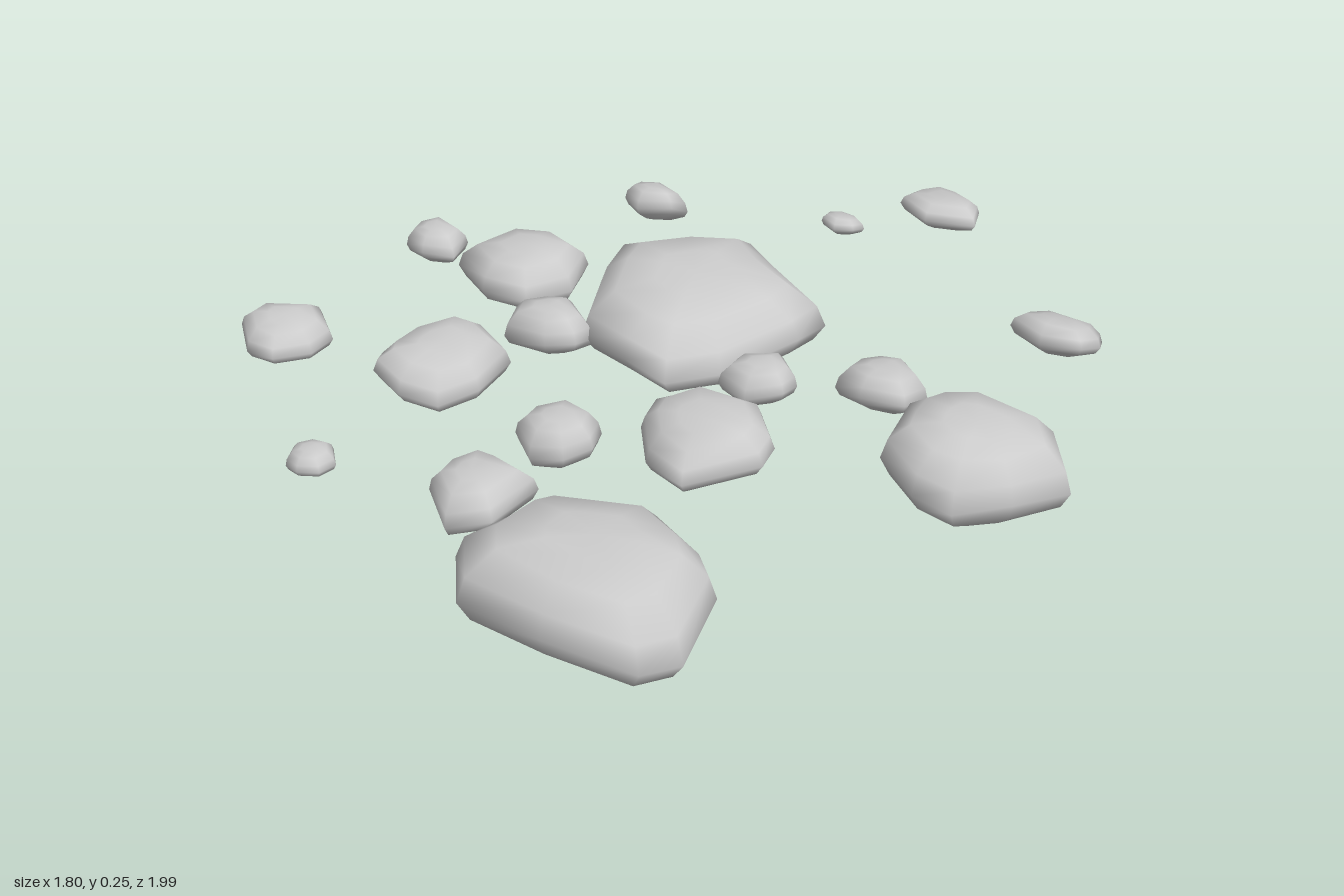
import * as THREE from 'three';

const material = new THREE.MeshStandardMaterial({ color: 0xcccccc });

// Ring profile of a stone: [share of outline, share of height]; first and last are poles
const PROFILE = [[0, 0], [0.5, 0.12], [0.9, 0.32], [1, 0.5], [0.93, 0.72], [0.7, 0.93], [0.36, 0.995], [0, 1]];

// Stone from a plan outline [x, z, x, z, ...] (clockwise from above) between heights y0 and y1.
// tilt = [x, z] lean of the slab; keel = [x, z] of the lowest point
function makeStone(name, outline, y0, y1, { tilt = [0, 0], keel = null } = {}) {
  const n = outline.length / 2;
  const plan = Array.from({ length: n }, (_, i) => new THREE.Vector2(outline[2 * i], outline[2 * i + 1]));
  const box = new THREE.Box2().setFromPoints(plan);
  const centre = box.getCenter(new THREE.Vector2());
  const size = box.getSize(new THREE.Vector2());
  const low = keel ? new THREE.Vector2(...keel) : centre;
  const positions = [], index = [];

  const add = (p, h) => positions.push(
    p.x,
    h + tilt[0] * (p.x - centre.x) / size.x + tilt[1] * (p.y - centre.y) / size.y,
    p.y);

  PROFILE.forEach(([share, h], j) => {
    const core = low.clone().lerp(centre, Math.min(1, h * 2));
    if (share === 0) return add(core, h);
    plan.forEach((p, i) => {
      // uneven rim so the widest line wanders up and down
      const wobble = 0.09 * Math.sin(i * 2.4 + n + outline[0] * 9) * Math.sin(Math.PI * h);
      add(core.clone().lerp(p, share), h + wobble);
    });
  });

  const rings = PROFILE.length - 2, top = 1 + rings * n;
  for (let i = 0; i < n; i++) {
    const k = (i + 1) % n;
    index.push(0, 1 + i, 1 + k);
    for (let j = 0; j < rings - 1; j++) {
      const a = 1 + j * n + i, b = 1 + j * n + k;
      index.push(a, a + n, b, b, a + n, b + n);
    }
    index.push(top - n + i, top, top - n + k);
  }

  // fit to the wanted height range
  let min = Infinity, max = -Infinity;
  for (let i = 1; i < positions.length; i += 3) {
    min = Math.min(min, positions[i]);
    max = Math.max(max, positions[i]);
  }
  for (let i = 1; i < positions.length; i += 3)
    positions[i] = y0 + (positions[i] - min) / (max - min) * (y1 - y0);

  const geometry = new THREE.BufferGeometry();
  geometry.setAttribute('position', new THREE.Float32BufferAttribute(positions, 3));
  geometry.setIndex(index);
  geometry.computeVertexNormals();
  const mesh = new THREE.Mesh(geometry, material);
  mesh.name = name;
  return mesh;
}

// Seven-sided outline for a round pebble, clockwise from above
function roundOutline(x, z, r) {
  const points = [];
  for (let i = 0; i < 7; i++) {
    const a = Math.PI + i * Math.PI * 2 / 7;
    points.push(x + r * Math.cos(a), z + r * Math.sin(a));
  }
  return points;
}

export function createModel() {
  const group = new THREE.Group();
  group.name = 'scatteredStones';
  const stone = (...args) => group.add(makeStone(...args));

  // Three boulders
  stone('centreBoulder', [-0.37, -0.15, -0.28, -0.3, -0.155, -0.395, -0.04, -0.34, 0.115, -0.315, 0.13, -0.19,
    0.065, 0.015, -0.015, 0.115, -0.11, 0.14, -0.27, 0.105, -0.35, -0.06], 0.01, 0.25,
  { tilt: [-0.25, -0.1], keel: [0, -0.1] });
  stone('frontBoulder', [0.1, 0.74, 0.135, 0.7, 0.34, 0.56, 0.48, 0.59, 0.57, 0.67, 0.62, 0.835,
    0.595, 0.935, 0.4, 0.99, 0.18, 0.985, 0.115, 0.915], 0, 0.25,
  { tilt: [-0.1, 0.1], keel: [0.31, 0.86] });
  stone('leftBoulder', [0.535, -0.015, 0.55, -0.095, 0.625, -0.155, 0.81, -0.19, 0.9, -0.1, 0.855, 0.06,
    0.76, 0.14, 0.68, 0.17, 0.57, 0.125, 0.54, 0.05], 0.01, 0.245,
  { tilt: [-0.25, 0], keel: [0.76, -0.02] });

  // Middle-sized stones
  stone('leftFrontStone', [0.06, 0.245, 0.105, 0.14, 0.265, 0.13, 0.355, 0.2, 0.365, 0.255, 0.28, 0.42,
    0.15, 0.38, 0.075, 0.305], 0.055, 0.195, { tilt: [0, -0.2] });
  stone('rightStone', [-0.695, 0.06, -0.67, -0.105, -0.57, -0.165, -0.45, -0.13, -0.425, -0.04,
    -0.46, 0.08, -0.57, 0.11], 0.05, 0.205);
  stone('rightFrontStone', [-0.54, 0.385, -0.495, 0.265, -0.435, 0.25, -0.335, 0.27, -0.29, 0.42,
    -0.33, 0.51, -0.42, 0.54, -0.505, 0.53, -0.535, 0.485], 0.06, 0.2, { tilt: [-0.2, 0] });

  // Small stones
  stone('innerStone', [-0.44, 0.14, -0.4, 0.075, -0.34, 0.05, -0.24, 0.095, -0.245, 0.15,
    -0.29, 0.205, -0.41, 0.21], 0.07, 0.19);
  stone('middleFrontStone', [-0.115, 0.45, -0.065, 0.375, 0.025, 0.375, 0.065, 0.45, 0.04, 0.515,
    -0.03, 0.545, -0.1, 0.51], 0.07, 0.195);
  stone('frontStone', [-0.12, 0.7, -0.09, 0.625, -0.04, 0.61, 0.07, 0.625, 0.07, 0.765,
    0, 0.83, -0.1, 0.77], 0.065, 0.195);
  stone('outerRightFrontStone', [-0.9, 0.505, -0.79, 0.415, -0.715, 0.455, -0.705, 0.53, -0.74, 0.615,
    -0.82, 0.62, -0.89, 0.57], 0.075, 0.18, { tilt: [-0.2, 0] });
  stone('outerRightStone', [-0.9, -0.005, -0.87, -0.06, -0.76, -0.04, -0.75, 0.02, -0.805, 0.07,
    -0.88, 0.05], 0.08, 0.175);
  stone('rightBackStone', [-0.61, -0.495, -0.57, -0.55, -0.46, -0.52, -0.47, -0.47, -0.54, -0.42,
    -0.605, -0.45], 0.08, 0.18, { tilt: [0, 0.3] });
  stone('backStone', [-0.045, -0.905, -0.025, -0.99, 0.035, -1, 0.125, -0.955, 0.16, -0.88,
    0.065, -0.8, -0.035, -0.84], 0.08, 0.18, { tilt: [0, 0.5] });
  stone('leftBackStone', [0.49, -0.545, 0.52, -0.615, 0.655, -0.65, 0.68, -0.595, 0.68, -0.505,
    0.59, -0.475, 0.5, -0.495], 0.075, 0.19, { tilt: [0, 0.6] });
  stone('innerLeftBackStone', [0.305, -0.15, 0.335, -0.21, 0.395, -0.235, 0.485, -0.185, 0.485, -0.095,
    0.39, -0.06, 0.31, -0.08], 0.065, 0.185, { tilt: [0, 0.2] });
  stone('innerLeftStone', [0.095, -0.005, 0.175, -0.075, 0.24, -0.035, 0.25, 0.03, 0.185, 0.085,
    0.1, 0.07], 0.075, 0.18);

  // Pebbles
  stone('frontPebble', roundOutline(-0.38, 0.835, 0.054), 0.095, 0.16);
  stone('backPebble', roundOutline(-0.105, -0.69, 0.054), 0.095, 0.16, { tilt: [0, 0.6] });

  return group;
}
